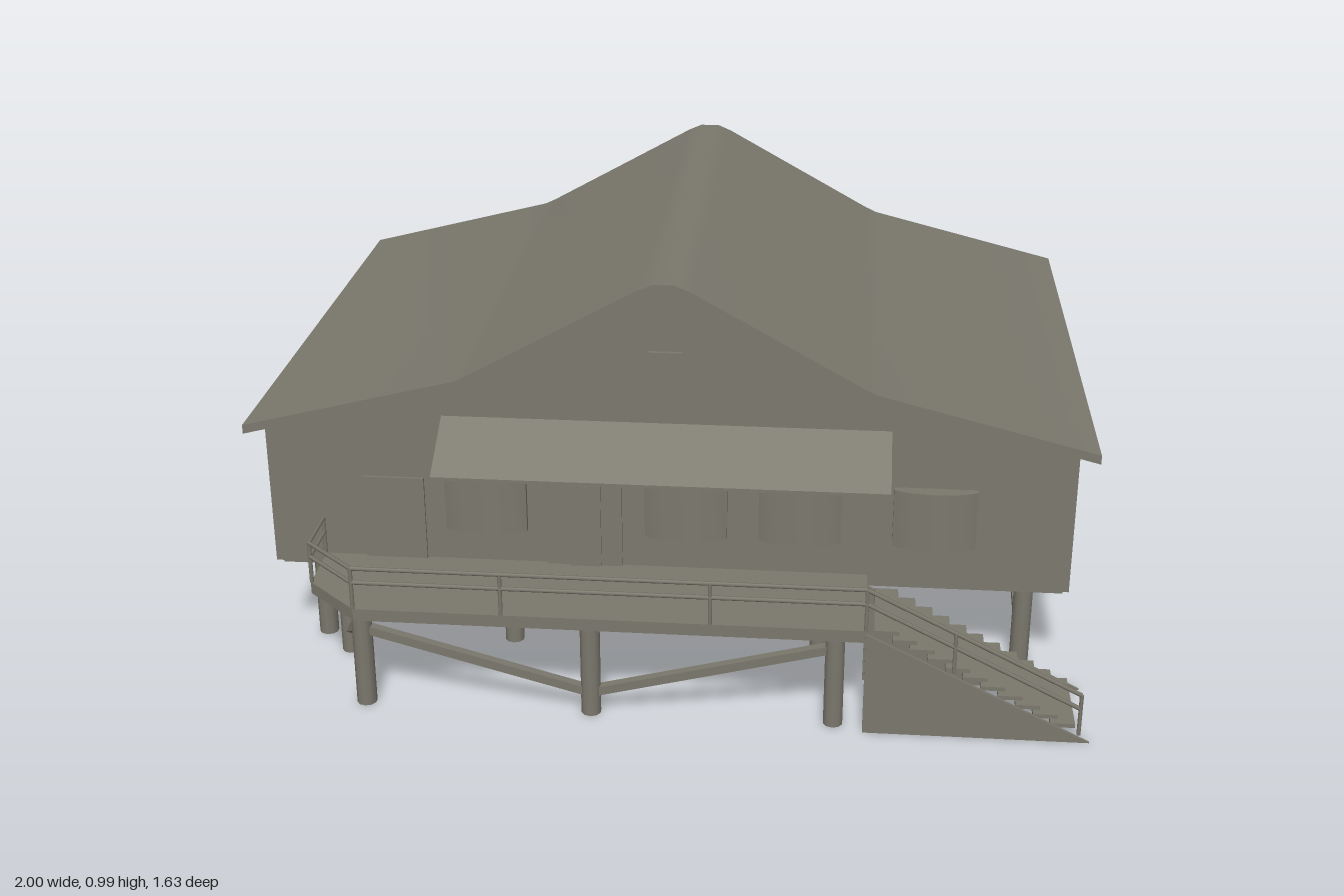
import * as THREE from 'three';
import { toCreasedNormals } from 'three/addons/utils/BufferGeometryUtils.js';

const timber = new THREE.MeshStandardMaterial({ color: 0x7b786d });
timber.name = 'weathered timber';

export function createModel() {
  const model = new THREE.Group();
  const V = (x, y, z) => new THREE.Vector3(x, y, z);

  function add(name, geometry, parent = model) {
    const mesh = new THREE.Mesh(geometry, timber);
    mesh.name = name;
    parent.add(mesh);
    return mesh;
  }
  function box(name, x0, x1, y0, y1, z0, z1, parent) {
    const mesh = add(name, new THREE.BoxGeometry(x1 - x0, y1 - y0, z1 - z0), parent);
    mesh.position.set((x0 + x1) / 2, (y0 + y1) / 2, (z0 + z1) / 2);
    return mesh;
  }
  // Straight round or square bar between two points
  function bar(name, a, b, r, sides, parent) {
    const geo = new THREE.CylinderGeometry(r, r, a.distanceTo(b), sides);
    const mesh = add(name, sides === 4 ? toCreasedNormals(geo.rotateY(Math.PI / 4), 0.5) : geo, parent);
    mesh.position.copy(a).lerp(b, 0.5);
    mesh.quaternion.setFromUnitVectors(V(0, 1, 0), b.clone().sub(a).normalize());
    return mesh;
  }
  // Outline extruded along z from z0 to z1
  function extrude(points, z0, z1) {
    const shape = new THREE.Shape(points.map(([x, y]) => new THREE.Vector2(x, y)));
    const geo = new THREE.ExtrudeGeometry(shape, { depth: z1 - z0, bevelEnabled: false });
    return toCreasedNormals(geo.translate(0, 0, z0), 0.5);
  }
  const mirror = (half) => [...half.map(([x, y]) => [-x, y]), ...half.slice().reverse()];

  // House body with gable ends, and the floor slab
  const roofHalf = [[1, 0.613], [0.49, 0.742], [0.46, 0.756], [0.06, 0.978], [0.025, 0.993]];
  const under = roofHalf.map(([x, y]) => [x, y - 0.022]);
  add('walls', extrude([[-0.957, 0.24], ...mirror([[0.957, 0.6], ...under.slice(1)]), [0.957, 0.24]], -0.775, 0.54));
  box('floorSlab', -0.945, 0.945, 0.225, 0.24, -0.765, 0.52);

  // Roof sheet following the kinked gable line
  add('roof', extrude([...mirror(roofHalf), ...mirror(under).reverse()], -0.82, 0.575));

  // Shallow bow windows: the curved plan is pulled upward
  function bow(name, width, y0, y1, depth = 0.035) {
    const pts = [];
    for (let i = 0; i <= 12; i++) {
      const a = (i / 12) * 2 - 1;
      pts.push([a * width / 2, -depth * Math.sqrt(Math.max(0, 1 - 0.85 * a * a))]);
    }
    const geo = extrude([[-width / 2, 0.005], ...pts, [width / 2, 0.005]], y0, y1);
    return add(name, geo.rotateX(-Math.PI / 2));
  }
  function windowAt(x, z, turn) {
    const w = bow('window', 0.195, 0.352, 0.498);
    w.position.set(x, 0, z);
    w.rotation.y = turn;
  }
  for (const x of [-0.43, 0.048, 0.318, 0.633]) windowAt(x, 0.54, 0);
  for (const x of [-0.475, 0, 0.475]) windowAt(x, -0.775, Math.PI);
  for (const z of [0.14, -0.4]) {
    windowAt(0.957, z, Math.PI / 2);
    windowAt(-0.957, z, -Math.PI / 2);
  }

  // Doors and gable vents
  box('sideDoor', -0.73, -0.58, 0.265, 0.477, 0.535, 0.547);
  box('doorFrame', -0.285, -0.105, 0.265, 0.498, 0.535, 0.548);
  box('frontDoor', -0.23, -0.155, 0.265, 0.477, 0.546, 0.554);
  box('frontVent', -0.04, 0.04, 0.737, 0.82, 0.535, 0.55);
  box('backVent', -0.04, 0.04, 0.737, 0.82, -0.785, -0.77);

  // Sloping awning on two struts
  const awning = extrude([[-0.54, 0.63], [-0.69, 0.543], [-0.69, 0.551], [-0.54, 0.64]], -0.53, 0.525);
  add('awning', awning.rotateY(Math.PI / 2));
  for (const x of [-0.253, 0.185]) bar('awningStrut', V(x, 0.517, 0.54), V(x, 0.545, 0.68), 0.005, 6);

  // Deck with one cut corner
  const deck = extrude([[-0.83, -0.5], [-0.83, -0.69], [-0.7, -0.81], [0.48, -0.81], [0.48, -0.5]], 0.235, 0.265);
  add('deck', deck.rotateX(-Math.PI / 2));

  // Stairs: two triangular side panels and open treads
  const stairs = new THREE.Group();
  stairs.name = 'stairs';
  model.add(stairs);
  for (const z of [0.575, 0.805])
    add('stairPanel', extrude([[0.478, 0], [0.995, 0], [0.478, 0.258]], z, z + 0.008), stairs);
  const steps = 11;
  for (let i = 0; i < steps; i++) {
    const x = 0.51 + i * 0.041, y = 0.25 - i * 0.0222;
    box('tread', x - 0.012, x + 0.044, y - 0.007, y + 0.003, 0.583, 0.785, stairs);
  }

  // Railing along the deck edge and down the stairs
  const rail = new THREE.Group();
  rail.name = 'railing';
  model.add(rail);
  const path = [[-0.827, 0.265, 0.56], [-0.827, 0.265, 0.69], [-0.7, 0.265, 0.807], [0.478, 0.265, 0.807], [0.97, 0.018, 0.807]];
  for (const h of [0.068, 0.104])
    for (let i = 0; i < path.length - 1; i++) {
      const [a, b] = [path[i], path[i + 1]].map(([x, y, z]) => V(x, y + h, z));
      bar('rail', a, b, 0.005, 6, rail);
    }
  for (const [x, y, z] of [...path, [-0.355, 0.265, 0.807], [0.125, 0.265, 0.807], [0.68, 0.165, 0.807]])
    bar('railPost', V(x, y, z), V(x, y + 0.104, z), 0.005, 6, rail);

  // Piles below house and deck
  const cols = [0.86, 0.37, -0.39, -0.865], rows = [-0.695, -0.13, 0.455];
  const deckPiles = [[-0.785, 0.54], [-0.69, 0.775], [-0.155, 0.775], [0.41, 0.775]];
  const piles = [...deckPiles];
  for (const x of cols) for (const z of rows) piles.push([x, z]);
  for (const [x, z] of piles) bar('pile', V(x, 0, z), V(x, 0.236, z), 0.0235, 10);

  // Zigzag braces, alternating low and high from pile to pile
  function zigzag(points, startHigh) {
    const at = ([x, z], i) => V(x, (i % 2 === 0) === startHigh ? 0.2 : 0.055, z);
    for (let i = 0; i < points.length - 1; i++)
      bar('brace', at(points[i], i), at(points[i + 1], i + 1), 0.015, 4);
  }
  zigzag(cols.map((x) => [x, rows[0]]), true);
  for (const x of [cols[0], cols[3]]) zigzag(rows.map((z) => [x, z]), false);
  zigzag(deckPiles, false);

  return model;
}
